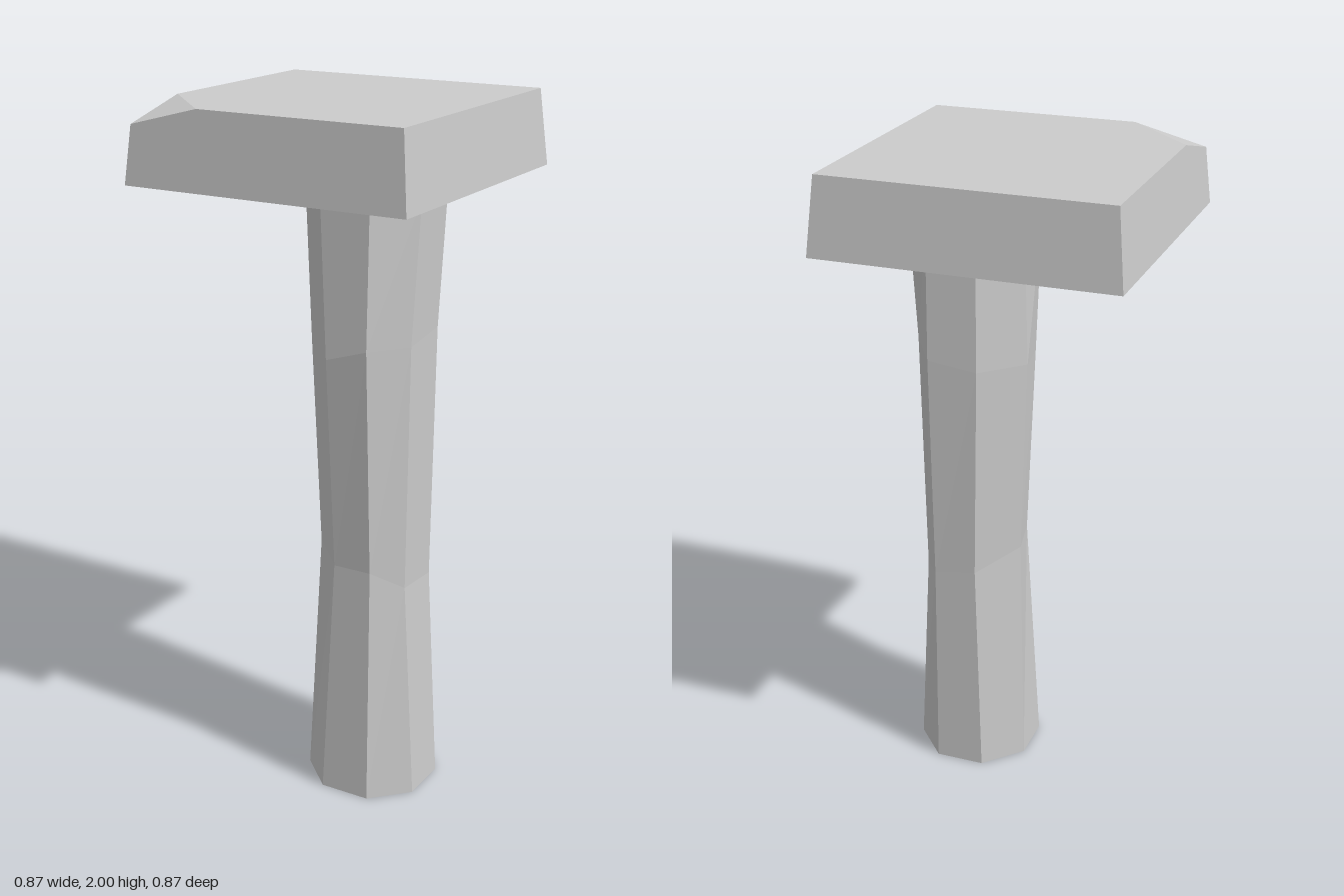
import * as THREE from 'three';
import { ConvexGeometry } from 'three/addons/geometries/ConvexGeometry.js';

const material = new THREE.MeshStandardMaterial({ color: 0xcccccc, flatShading: true });

// Octagonal outline [x, z], counter-clockwise from the front left corner
const octagon = [
  [0.105, 0.30], [0.255, 0.30], [0.355, 0.20], [0.355, 0.05],
  [0.255, -0.06], [0.105, -0.06], [0, 0.05], [0, 0.20],
];
// Uneven hand-carved rings [x, y, z]
const waist = [
  [0.135, 0.72, 0.28], [0.25, 0.72, 0.28], [0.32, 0.66, 0.20], [0.32, 0.65, 0.05],
  [0.25, 0.68, -0.06], [0.12, 0.70, -0.06], [0.015, 0.75, 0.06], [0.045, 0.75, 0.20],
];
const shoulder = [
  [0.13, 1.34, 0.315], [0.255, 1.38, 0.315], [0.335, 1.38, 0.21], [0.335, 1.40, 0.055],
  [0.255, 1.38, -0.068], [0.105, 1.36, -0.065], [-0.01, 1.36, 0.05], [0.02, 1.35, 0.205],
];

// Skin a stack of rings and cap both ends
function loft(rings) {
  const n = rings[0].length, last = (rings.length - 1) * n, index = [];
  for (let r = 0; r < rings.length - 1; r++) {
    for (let i = 0; i < n; i++) {
      const a = r * n + i, b = r * n + (i + 1) % n;
      index.push(a, b, b + n, a, b + n, a + n);
    }
  }
  for (let i = 1; i < n - 1; i++) {
    index.push(0, i + 1, i, last, last + i, last + i + 1);
  }
  const geometry = new THREE.BufferGeometry();
  geometry.setAttribute('position', new THREE.Float32BufferAttribute(rings.flat(2), 3));
  geometry.setIndex(index);
  const flat = geometry.toNonIndexed();
  flat.computeVertexNormals();
  return flat;
}

export function createModel() {
  const group = new THREE.Group();
  const addPart = (name, geometry) => {
    const mesh = new THREE.Mesh(geometry, material);
    mesh.name = name;
    group.add(mesh);
  };

  // Off-centre post
  const ringAt = (y) => octagon.map(([x, z]) => [x, y, z]);
  addPart('post', loft([ringAt(0), waist, shoulder, ringAt(1.78)]));

  // Tapered square slab with one chipped top corner
  const bottom = 0.433, top = 0.412, points = [];
  for (const sx of [-1, 1]) {
    for (const sz of [-1, 1]) {
      points.push(new THREE.Vector3(sx * bottom, 1.78, sz * bottom));
      if (sx > 0 || sz < 0) points.push(new THREE.Vector3(sx * top, 2, sz * top));
    }
  }
  points.push(
    new THREE.Vector3(-top, 2, 0.205),
    new THREE.Vector3(-0.205, 2, top),
    new THREE.Vector3(-0.417, 1.945, 0.417),
  );
  addPart('slab', new ConvexGeometry(points));

  return group;
}
